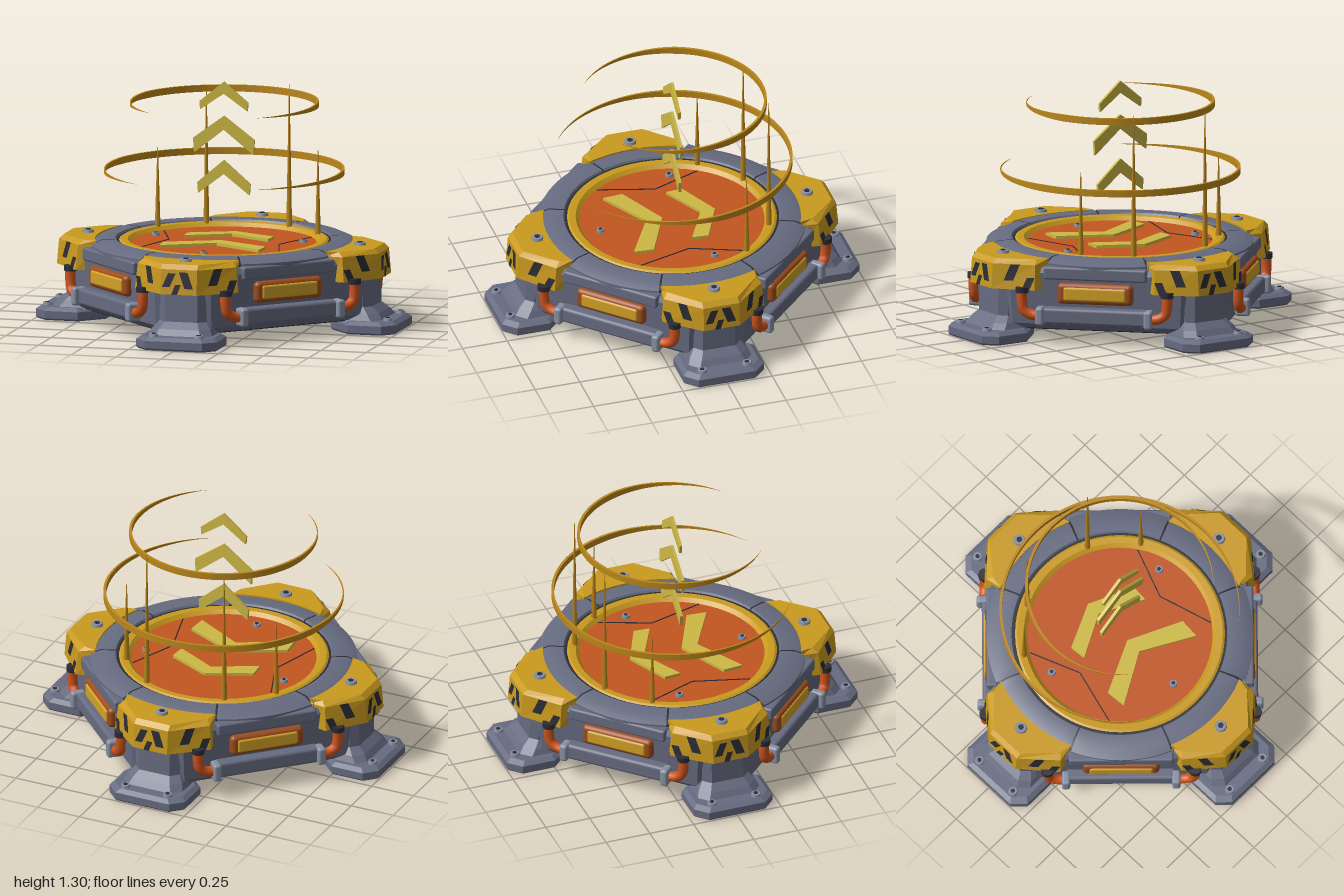
import * as THREE from 'three';
import { toCreasedNormals, mergeGeometries } from 'three/addons/utils/BufferGeometryUtils.js';
import { RoundedBoxGeometry } from 'three/addons/geometries/RoundedBoxGeometry.js';

const mat = (name, color, side = THREE.FrontSide) => {
  const m = new THREE.MeshStandardMaterial({ color, side });
  m.name = name;
  return m;
};
const steel = mat('blue grey steel', 0x666b80, THREE.DoubleSide);
const yellow = mat('safety yellow', 0xc99a1e);
const dark = mat('dark slate', 0x2b2c35, THREE.DoubleSide);
const orange = mat('deck orange', 0xc25520);
const hose = mat('hose orange', 0xcc531c);
const frameMat = mat('rust frame', 0x9c4c1c);
const glow = mat('amber lamp', 0xd3a126);
const bolt = mat('light steel', 0x8790a2);
const gold = mat('ring gold', 0xbb871b, THREE.DoubleSide);
const pale = mat('chevron yellow', 0xcdb944);

function add(parent, name, geo, material, x = 0, y = 0, z = 0) {
  const m = new THREE.Mesh(geo, material);
  m.name = name;
  m.position.set(x, y, z);
  parent.add(m);
  return m;
}

// Solid through stacked plan outlines: sections = [[y, [[x, z], ...]], ...], bottom first
function loft(sections) {
  const rings = sections.map(([y, pts]) => {
    const v = pts.map(([x, z]) => new THREE.Vector2(x, -z));
    if (THREE.ShapeUtils.area(v) < 0) v.reverse();
    return { y, v };
  });
  const pos = [];
  const put = (r, i) => pos.push(r.v[i].x, r.y, -r.v[i].y);
  for (let k = 0; k + 1 < rings.length; k++) {
    const a = rings[k], b = rings[k + 1], n = a.v.length;
    for (let i = 0; i < n; i++) {
      const j = (i + 1) % n;
      put(a, i); put(a, j); put(b, j);
      put(a, i); put(b, j); put(b, i);
    }
  }
  const lo = rings[0], hi = rings[rings.length - 1];
  for (const [a, b, c] of THREE.ShapeUtils.triangulateShape(lo.v, [])) { put(lo, a); put(lo, c); put(lo, b); }
  for (const [a, b, c] of THREE.ShapeUtils.triangulateShape(hi.v, [])) { put(hi, a); put(hi, b); put(hi, c); }
  const g = new THREE.BufferGeometry();
  g.setAttribute('position', new THREE.Float32BufferAttribute(pos, 3));
  g.computeVertexNormals();
  return g;
}

// Diamond with clipped corners: corner reach R, flat side distance d
function diamond(R, d) {
  const w = d * Math.SQRT2 - R;
  return [[w, R], [R, w], [R, -w], [w, -R], [-w, -R], [-R, -w], [-R, w], [-w, R]];
}
// Rectangle with clipped corners, outer clip co and inner clip ci
const plate = (w, z0, z1, co, ci) => [
  [w - co, z1], [w, z1 - co], [w, z0 + ci], [w - ci, z0],
  [ci - w, z0], [-w, z0 + ci], [-w, z1 - co], [co - w, z1]];

const lathe = (pts, seg, start = 0, len = Math.PI * 2) =>
  toCreasedNormals(new THREE.LatheGeometry(pts.map(p => new THREE.Vector2(...p)), seg, start, len), 0.5);

function addBolt(parent, x, y, z, r) {
  add(parent, 'bolt', new THREE.CylinderGeometry(r * 0.85, r, 0.02, 8).toNonIndexed(), bolt, x, y, z);
  add(parent, 'boltSocket', new THREE.CylinderGeometry(r * 0.45, r * 0.45, 0.004, 6), dark, x, y + 0.011, z);
}

function chevron(w, apex, inner, endTop, endBottom) {
  const s = new THREE.Shape([[0, apex], [-w, endTop], [-w * 0.97, endBottom], [0, inner], [w * 0.97, endBottom], [w, endTop]]
    .map(p => new THREE.Vector2(...p)));
  return new THREE.ExtrudeGeometry(s, { depth: 0.016, bevelEnabled: false });
}

// Band bent round the y axis, open at the front and tapering to its ends
function taperedArc(R, gap) {
  const g = new THREE.BoxGeometry(1, 1, 1, 96, 1, 1), p = g.attributes.position;
  for (let i = 0; i < p.count; i++) {
    const t = p.getX(i), k = Math.max(0.02, Math.min(1, (1 - Math.abs(2 * t)) * 2));
    const a = Math.PI + t * 2 * (Math.PI - gap), r = R + p.getZ(i) * 0.014 * k;
    p.setXYZ(i, Math.sin(a) * r, p.getY(i) * 0.036 * k, Math.cos(a) * r);
  }
  g.computeVertexNormals();
  return g;
}

// Yellow corner cover plan, grown outward by e
function coverPlan(e) {
  const pts = [[-0.27 - e, 0.73 + e], [-0.1, 0.885 + e], [0.1, 0.885 + e], [0.27 + e, 0.73 + e]];
  for (let i = 0; i <= 8; i++) {
    const a = 0.39 - i * 0.0975;
    pts.push([Math.sin(a) * 0.69, Math.cos(a) * 0.69]);
  }
  return pts;
}

// Slanted hazard stripes laid on the three outer faces of a corner cover
function hazardStripes() {
  const lo = coverPlan(0.015), hi = coverPlan(0.003), parts = [];
  const stripes = [
    [[0.12, 0.3, 0.0, 0.5, -0.12], [0.5, 0.72, 0.35, 1, -0.14]],
    [[0.04, 0.25, 0.3, 0.85, 0.16], [0.3, 0.46, 0, 0.4, 0.1], [0.66, 0.9, 0.25, 0.9, -0.16]],
    [[0.28, 0.5, 0.35, 1, 0.14], [0.7, 0.88, 0, 0.5, 0.12]]];
  stripes.forEach((list, f) => {
    const at = (s, t) => {
      const mix = q => [0, 1].map(k => q[f][k] + (q[f + 1][k] - q[f][k]) * s);
      const a = mix(lo), b = mix(hi);
      return new THREE.Vector3(a[0] + (b[0] - a[0]) * t, 0.29 + 0.135 * t, a[1] + (b[1] - a[1]) * t);
    };
    const n = at(1, 0).sub(at(0, 0)).cross(at(0, 1).sub(at(0, 0))).normalize().multiplyScalar(0.003);
    for (const [s0, s1, t0, t1, slant] of list) {
      const c = [at(s0, t0), at(s1, t0), at(s1 + slant, t1), at(s0 + slant, t1)].map(v => v.add(n));
      const g = new THREE.BufferGeometry().setFromPoints([0, 1, 2, 0, 2, 3].map(i => c[i]));
      g.computeVertexNormals();
      parts.push(g);
    }
  });
  return mergeGeometries(parts);
}

function buildCorner() {
  const g = new THREE.Group();
  g.name = 'corner';
  add(g, 'foot', loft([[0, plate(0.215, 0.63, 0.99, 0.06, 0.12)], [0.01, plate(0.225, 0.62, 1, 0.065, 0.13)],
    [0.05, plate(0.225, 0.62, 1, 0.065, 0.13)], [0.068, plate(0.2, 0.64, 0.975, 0.06, 0.12)]]), steel);
  add(g, 'footSlope', loft([[0.06, plate(0.18, 0.62, 0.92, 0.05, 0.1)], [0.1, plate(0.16, 0.6, 0.89, 0.05, 0.1)],
    [0.135, plate(0.13, 0.6, 0.85, 0.04, 0.08)], [0.3, plate(0.13, 0.6, 0.845, 0.04, 0.08)]]), steel);
  for (const s of [-1, 1]) addBolt(g, s * 0.125, 0.073, 0.945, 0.028);
  add(g, 'cornerCover', loft([[0.29, coverPlan(0.015)], [0.425, coverPlan(0.003)], [0.45, coverPlan(-0.022)]]), yellow);
  add(g, 'hazardStripes', hazardStripes(), dark);
  addBolt(g, 0, 0.455, 0.755, 0.036);
  return g;
}

function buildSide() {
  const g = new THREE.Group();
  g.name = 'side';
  add(g, 'upperTrim', new RoundedBoxGeometry(0.56, 0.07, 0.06, 2, 0.012), steel, 0, 0.385, 0.685);
  add(g, 'lampFrame', new RoundedBoxGeometry(0.41, 0.115, 0.06, 3, 0.025), frameMat, 0, 0.277, 0.69);
  add(g, 'lamp', new RoundedBoxGeometry(0.34, 0.075, 0.03, 2, 0.012), glow, 0, 0.277, 0.713);
  add(g, 'lowerBar', new RoundedBoxGeometry(0.58, 0.09, 0.08, 2, 0.018), steel, 0, 0.155, 0.697);
  for (const s of [-1, 1]) {
    add(g, 'hoseClamp', new RoundedBoxGeometry(0.045, 0.1, 0.08, 2, 0.015), bolt, s * 0.295, 0.155, 0.725);
    const path = new THREE.CatmullRomCurve3([[0.395, 0.3], [0.395, 0.23], [0.385, 0.185], [0.35, 0.16], [0.29, 0.153]]
      .map(([x, y]) => new THREE.Vector3(s * x, y, 0.72)));
    add(g, 'hose', new THREE.TubeGeometry(path, 20, 0.028, 10), hose);
    add(g, 'hoseCollar', new THREE.CylinderGeometry(0.035, 0.035, 0.03, 10), dark, s * 0.395, 0.292, 0.72);
  }
  return g;
}

export function createModel() {
  const model = new THREE.Group();
  model.name = 'launchPad';

  // Hull
  add(model, 'hull', loft([[0.07, diamond(0.76, 0.645)], [0.1, diamond(0.8, 0.675)], [0.38, diamond(0.82, 0.69)],
    [0.41, diamond(0.8, 0.675)]]), steel);
  add(model, 'underside', loft([[0.064, diamond(0.75, 0.635)], [0.07, diamond(0.755, 0.64)]]), dark);
  for (let k = 0; k < 4; k++) {
    const corner = buildCorner(), side = buildSide();
    corner.rotation.y = k * Math.PI / 2;
    side.rotation.y = (k + 0.5) * Math.PI / 2;
    model.add(corner, side);
  }

  // Deck: segmented steel rim, yellow ring, orange disc
  add(model, 'rimSeams', lathe([[0.7, 0.36], [0.7, 0.425], [0.655, 0.445], [0.56, 0.445], [0.56, 0.4]], 64), dark);
  for (let k = 0; k < 8; k++) {
    add(model, 'rimSegment', lathe([[0.715, 0.36], [0.715, 0.43], [0.66, 0.455], [0.58, 0.455], [0.57, 0.44]], 10,
      (k + 0.5) * Math.PI / 4 + 0.008, Math.PI / 4 - 0.016), steel);
  }
  add(model, 'deckRing', lathe([[0.563, 0.41], [0.563, 0.444], [0.55, 0.452], [0.515, 0.45], [0.495, 0.43], [0.495, 0.4]], 64), yellow);
  add(model, 'deckDisc', new THREE.CylinderGeometry(0.5, 0.5, 0.04, 64), orange, 0, 0.41, 0);
  for (const s of [-1, 1]) {
    for (const [x0, z0, x1, z1] of [[0.41, -0.27, 0.305, 0], [0.305, 0, 0.39, 0.3]]) {
      const seam = add(model, 'deckSeam', new THREE.BoxGeometry(0.006, 0.004, Math.hypot(x1 - x0, z1 - z0)), dark,
        s * (x0 + x1) / 2, 0.431, (z0 + z1) / 2);
      seam.rotation.y = Math.atan2(s * (x1 - x0), z1 - z0);
    }
    addBolt(model, s * 0.41, 0.435, -0.11, 0.024);
  }
  addBolt(model, 0, 0.435, 0.4, 0.024);

  // Chevrons: two on the deck, three floating
  for (const c of [[0.24, 0.24, 0.16, 0.13, 0.04], [0.285, -0.055, -0.145, -0.19, -0.3]]) {
    add(model, 'deckChevron', chevron(...c), pale, 0, 0.434, 0).rotation.x = -Math.PI / 2;
  }
  for (const c of [[0.135, 1.3, 1.235, 1.19, 1.145], [0.17, 1.115, 1.04, 0.99, 0.91], [0.147, 0.875, 0.8, 0.75, 0.69]]) {
    add(model, 'floatingChevron', chevron(...c), pale, 0, 0, -0.008);
  }

  // Floating rings and the spikes below them
  add(model, 'lowerRing', taperedArc(0.638, 0.54), gold, 0, 0.817, 0);
  add(model, 'upperRing', taperedArc(0.5, 0.64), gold, 0, 1.181, 0);
  for (const [x, z, top] of [[-0.23, -0.47, 1.18], [0.23, -0.47, 1.22], [-0.447, -0.28, 0.88], [0.443, -0.28, 0.9]]) {
    add(model, 'spike', new THREE.CylinderGeometry(0.002, 0.016, top - 0.44, 6), gold, x, (top + 0.44) / 2, z);
  }
  return model;
}
